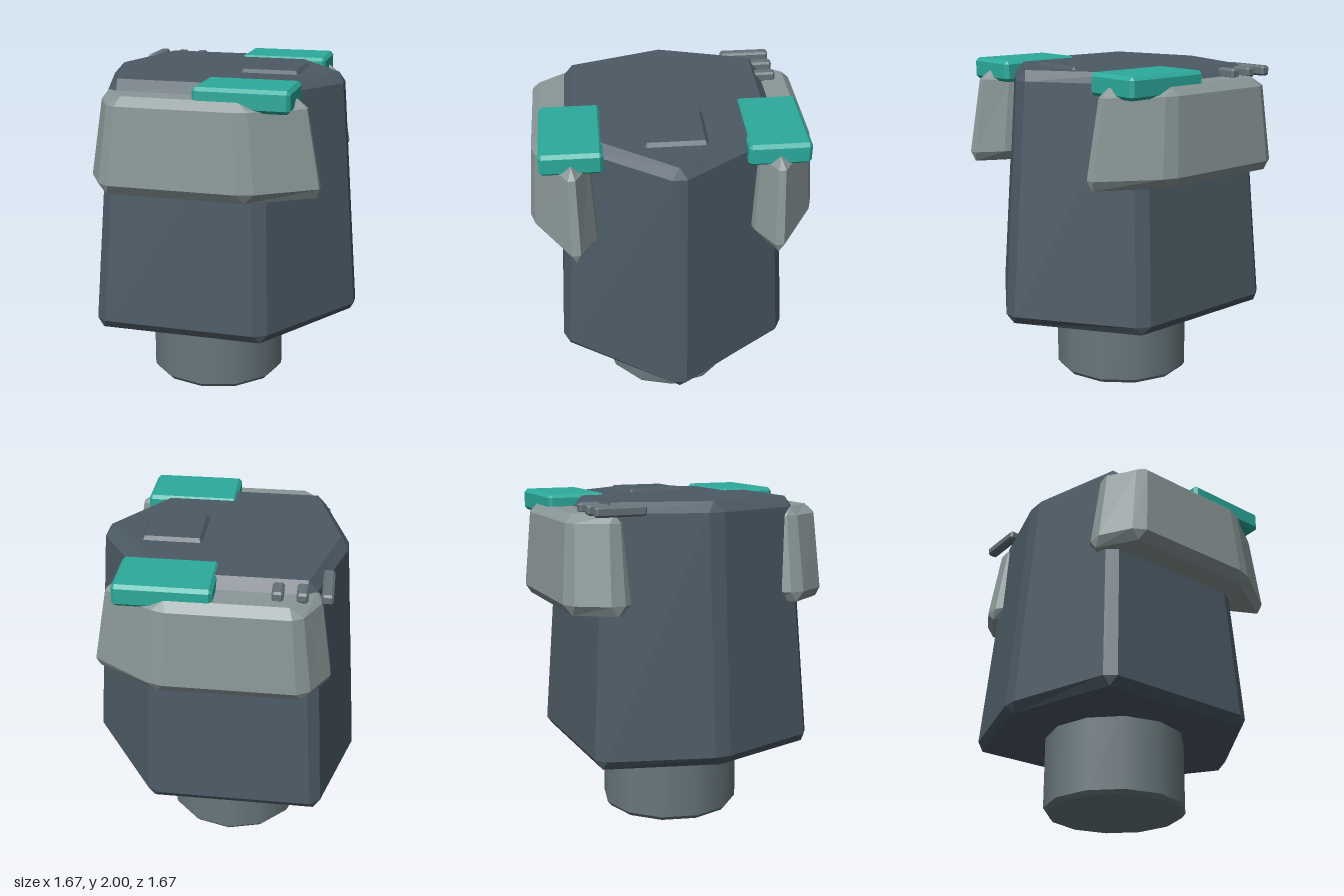
import * as THREE from 'three';

const paint = (color, flatShading = true) => new THREE.MeshStandardMaterial({ color, flatShading });
const hullPaint = paint(0x4c5a65);
const podPaint = paint(0x8a9798);
const basePaint = paint(0x68777c, false);
const padPaint = paint(0x2cab9c);
const barPaint = paint(0x66737a);

// Each corner becomes two points, pulled towards its neighbours by the cut
function cutCorners(corners, cut) {
  const pts = corners.map(([x, z]) => new THREE.Vector2(x, z));
  const n = pts.length;
  return pts.flatMap((p, i) => [pts[(i + n - 1) % n], pts[(i + 1) % n]].map((q) =>
    p.clone().add(q.clone().sub(p).setLength(cut))));
}

// Closed faceted solid through levels [y, corners, cut], listed bottom to top;
// corners are [x, z] and run from +x towards -z
function loft(levels) {
  const rings = levels.map(([y, corners, cut]) =>
    cutCorners(corners, cut).map((p) => new THREE.Vector3(p.x, y, p.y)));
  const n = rings[0].length;
  const out = [];
  const tri = (a, b, c) => {
    if (new THREE.Triangle(a, b, c).getArea() > 1e-7) {
      for (const v of [a, b, c]) out.push(v.x, v.y, v.z);
    }
  };
  for (let r = 0; r + 1 < rings.length; r++) {
    const lo = rings[r], hi = rings[r + 1];
    for (let i = 0; i < n; i++) {
      const j = (i + 1) % n;
      tri(lo[i], lo[j], hi[j]);
      tri(lo[i], hi[j], hi[i]);
    }
  }
  const bottom = rings[0], top = rings[rings.length - 1];
  for (let i = 1; i + 1 < n; i++) {
    tri(top[0], top[i], top[i + 1]);
    tri(bottom[0], bottom[i + 1], bottom[i]);
  }
  const geo = new THREE.BufferGeometry();
  geo.setAttribute('position', new THREE.Float32BufferAttribute(out, 3));
  geo.computeVertexNormals();
  return geo;
}

const rect = (w, d) => [[w / 2, d / 2], [w / 2, -d / 2], [-w / 2, -d / 2], [-w / 2, d / 2]];

// Box with every edge chamfered by b, standing on y = 0
const chamferBox = (w, h, d, b) => loft([
  [0, rect(w - 2 * b, d - 2 * b), 0],
  [b, rect(w, d), b],
  [h - b, rect(w, d), b],
  [h, rect(w - 2 * b, d - 2 * b), 0],
]);

// Hexagon symmetric in z: right tip, right corner, left corner, left tip
const hexagon = (tipR, cornerR, cornerL, tipL, z) => [
  [tipR, 0], [cornerR, -z], [cornerL, -z], [tipL, 0], [cornerL, z], [cornerR, z],
];

export function createModel() {
  const model = new THREE.Group();
  const add = (name, geo, material, x = 0, y = 0, z = 0) => {
    const mesh = new THREE.Mesh(geo, material);
    mesh.name = name;
    mesh.position.set(x, y, z);
    model.add(mesh);
  };

  // Round base with a small bevel at the foot
  add('base', new THREE.CylinderGeometry(0.43, 0.43, 0.47, 12, 1, true), basePaint, -0.07, 0.26, 0);
  add('baseBevel', new THREE.CylinderGeometry(0.43, 0.41, 0.025, 12), basePaint, -0.07, 0.0125, 0);

  // Tapered six-sided hull
  const wide = hexagon(0.856, 0.375, -0.645, -0.855, 0.7);
  add('hull', loft([
    [0.465, hexagon(0.8, 0.36, -0.62, -0.81, 0.66), 0],
    [0.52, wide, 0.05],
    [1.92, wide.map(([x, z]) => [x * 0.865, z * 0.865]), 0.05],
    [1.98, hexagon(0.68, 0.29, -0.52, -0.68, 0.55), 0],
  ]), hullPaint);

  // Hatch on the roof
  add('roofHatch', loft([
    [1.96, rect(0.36, 0.36), 0.015],
    [1.98, rect(0.36, 0.36), 0.015],
    [2.0, rect(0.32, 0.32), 0],
  ]), hullPaint, 0.29, 0, -0.005);

  // Side pods with a teal pad on top, front and back
  const podLevels = [
    [1.36, [[0.66, 0.575], [0.45, 0.47], [-0.57, 0.47], [-0.66, 0.57], [-0.52, 0.79], [0.29, 0.79]], 0],
    [1.42, [[0.72, 0.575], [0.48, 0.43], [-0.6, 0.43], [-0.695, 0.57], [-0.54, 0.835], [0.305, 0.835]], 0.05],
    [1.87, [[0.63, 0.575], [0.42, 0.46], [-0.55, 0.46], [-0.62, 0.56], [-0.49, 0.8], [0.27, 0.8]], 0.04],
    [1.92, [[0.54, 0.575], [0.38, 0.5], [-0.52, 0.5], [-0.57, 0.55], [-0.43, 0.75], [0.24, 0.75]], 0],
  ];
  const mirrored = podLevels.map(([y, corners, cut]) =>
    [y, corners.map(([x, z]) => [x, -z]).reverse(), cut]);
  for (const [side, levels, s] of [['front', podLevels, 1], ['back', mirrored, -1]]) {
    add(side + 'Pod', loft(levels), podPaint);
    add(side + 'Pad', chamferBox(0.55, 0.13, 0.355, 0.02), padPaint, 0.255, 1.86, 0.575 * s);
  }

  // Three small bars on the back pod
  for (const [x, z, length] of [[-0.627, -0.54, 0.3], [-0.493, -0.625, 0.13], [-0.36, -0.625, 0.13]]) {
    add('podBar', chamferBox(0.064, 0.06, length, 0.012), barPaint, x, 1.91, z);
  }
  return model;
}
